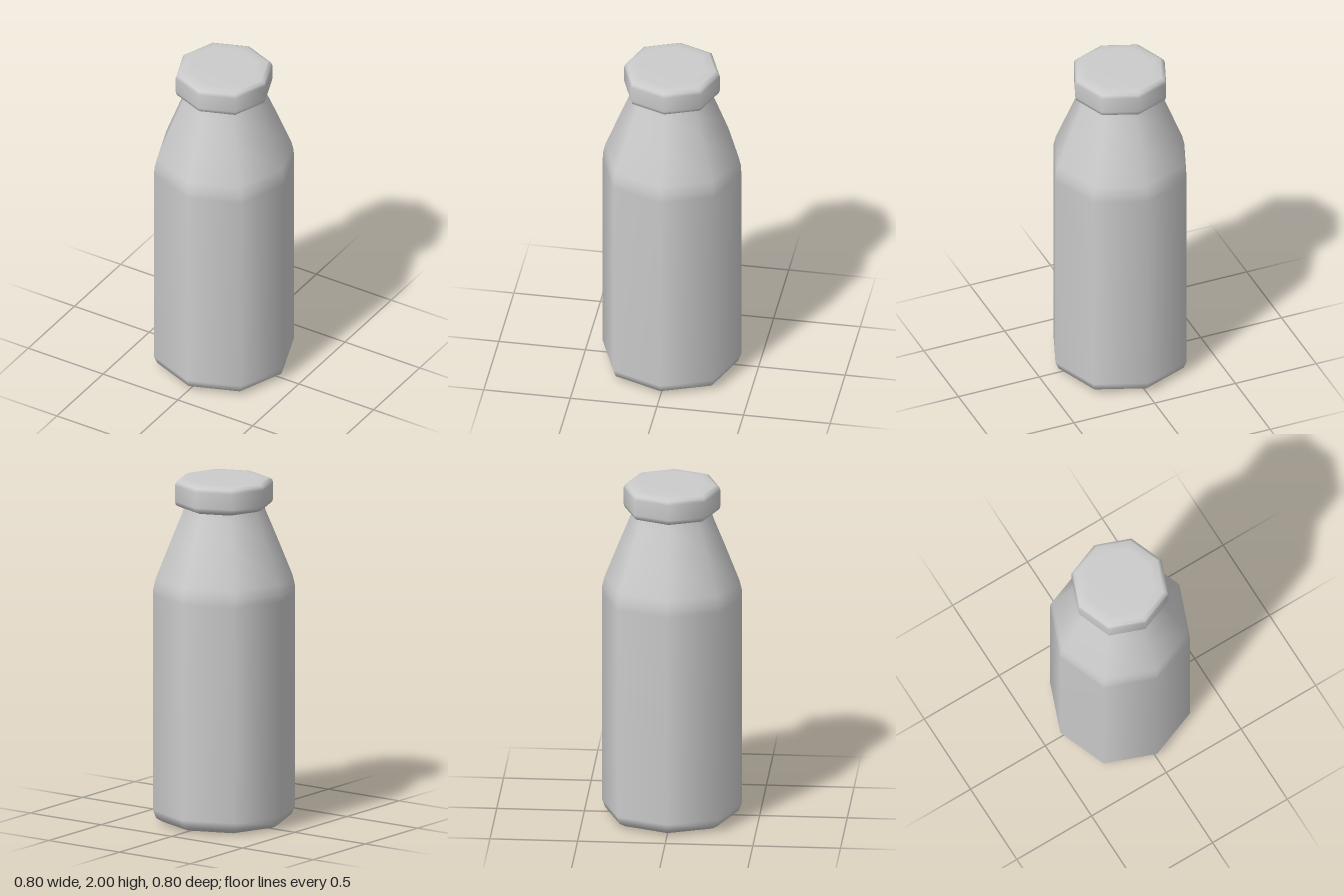
import * as THREE from 'three';

const SIDES = 8;

// Eight-sided smooth turned part; the diagonal corners sit slightly further out.
function turned(name, profile, material) {
  const points = profile.map(([r, y]) => new THREE.Vector2(r, y));
  const geometry = new THREE.LatheGeometry(points, SIDES);
  const pos = geometry.attributes.position;
  for (let i = 0; i < pos.count; i++) {
    const x = pos.getX(i), z = pos.getZ(i);
    if (Math.abs(x * z) > 1e-4) pos.setXYZ(i, x * 1.022, pos.getY(i), z * 1.022);
  }
  const mesh = new THREE.Mesh(geometry, material);
  mesh.name = name;
  return mesh;
}

export function createModel() {
  const group = new THREE.Group();
  group.name = 'bottle';
  const grey = new THREE.MeshStandardMaterial({ color: 0xcccccc });
  grey.name = 'light grey';

  // Body: bevelled base, straight wall, sloping shoulder and short neck
  group.add(turned('body', [
    [0, 0], [0.31, 0], [0.345, 0.006], [0.382, 0.028], [0.4, 0.075],
    [0.4, 1.33], [0.398, 1.37], [0.385, 1.425],
    [0.295, 1.655], [0.236, 1.8], [0.225, 1.835],
  ], grey));

  // Cap: rounded rim with a flat top
  group.add(turned('cap', [
    [0.2, 1.83], [0.228, 1.832], [0.255, 1.842], [0.271, 1.853], [0.277, 1.875],
    [0.277, 1.965], [0.27, 1.985], [0.25, 1.996], [0.2, 2], [0, 2],
  ], grey));

  return group;
}
